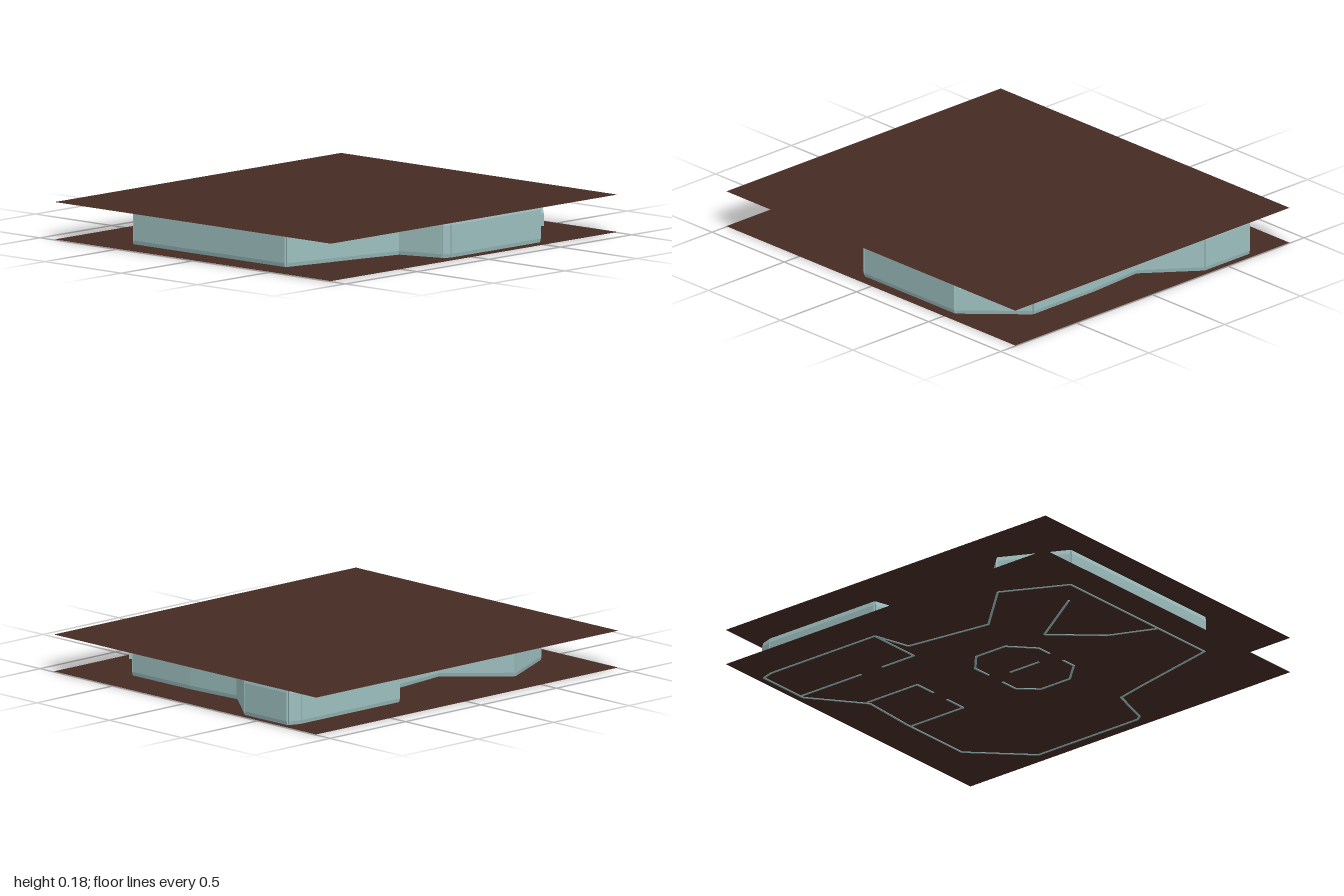
import * as THREE from 'three';

const FLOOR = 0.004, CEILING = 0.185;
const teal = new THREE.MeshStandardMaterial({ color: 0x9dbfbf, flatShading: true });
const brown = new THREE.MeshStandardMaterial({ color: 0x452a22, side: THREE.DoubleSide });

// One straight wall with chamfered top and bottom edges, from a to b
function wallSegment(a, b, thickness) {
  const dx = b[0] - a[0], dz = b[1] - a[1];
  const t = thickness / 2, c = t * 0.5, e = 0.022;
  const y0 = FLOOR - 0.003, y1 = CEILING - 0.001;
  const profile = new THREE.Shape([
    [-c, y0], [c, y0], [t, y0 + e], [t, y1 - e],
    [c, y1], [-c, y1], [-t, y1 - e], [-t, y0 + e],
  ].map(([x, y]) => new THREE.Vector2(x, y)));
  const geometry = new THREE.ExtrudeGeometry(profile, {
    depth: Math.hypot(dx, dz), bevelEnabled: false,
  });
  const wall = new THREE.Mesh(geometry, teal);
  wall.position.set(a[0], 0, a[1]);
  wall.rotation.y = Math.atan2(dx, dz);
  return wall;
}

// A run of walls through a list of [x, z] corners
function wallRun(name, points, closed = false, thickness = 0.02) {
  const run = new THREE.Group();
  run.name = name;
  const count = closed ? points.length : points.length - 1;
  for (let i = 0; i < count; i++) {
    const wall = wallSegment(points[i], points[(i + 1) % points.length], thickness);
    wall.name = name + 'Segment';
    run.add(wall);
  }
  return run;
}

export function createModel() {
  const model = new THREE.Group();
  model.name = 'walledFloorPlan';

  // Floor and ceiling sheets
  for (const [name, y] of [['floor', FLOOR], ['ceiling', CEILING]]) {
    const sheet = new THREE.Mesh(new THREE.PlaneGeometry(2, 1.81), brown);
    sheet.name = name;
    sheet.rotation.x = -Math.PI / 2;
    sheet.position.y = y;
    model.add(sheet);
  }

  // Outer wall around all the rooms
  model.add(wallRun('outerWall', [
    [-0.1, 0.84], [0.52, 0.84], [0.78, 0.58], [0.78, 0.18], [0.76, -0.12],
    [0.96, -0.38], [0.96, -0.67], [0.9, -0.69], [0.25, -0.69], [0.2, -0.5],
    [-0.25, -0.44], [-0.52, -0.69], [-0.84, -0.53], [-0.84, 0.46],
    [-0.37, 0.56], [-0.2, 0.6], [-0.13, 0.82],
  ], true));

  // Central room, with doorways on two sides
  model.add(wallRun('centralRoomBack', [
    [-0.26, 0.0], [-0.26, -0.08], [-0.15, -0.2], [0.03, -0.2], [0.12, -0.1], [0.12, 0.0],
  ]));
  model.add(wallRun('centralRoomFront', [
    [-0.26, 0.1], [-0.26, 0.18], [-0.15, 0.28], [0.03, 0.28], [0.12, 0.2], [0.12, 0.1],
  ]));
  model.add(wallRun('centralPartition', [[-0.16, 0.04], [0.02, 0.04]]));

  // Side room and back room on the +x side
  model.add(wallRun('sideRoom', [[0.76, -0.14], [0.45, -0.14], [0.45, -0.02]]));
  model.add(wallRun('sideRoom', [[0.45, 0.08], [0.45, 0.2], [0.78, 0.2]]));
  model.add(wallRun('backRoom', [[0.25, -0.69], [0.25, -0.4], [0.45, -0.4]]));
  model.add(wallRun('backRoom', [[0.58, -0.4], [0.95, -0.4]]));

  // Angled passage on the -x side
  model.add(wallRun('passageWall', [[-0.72, -0.4], [-0.38, -0.18], [-0.6, 0.02], [-0.84, 0.12]]));

  // Window panel standing proud of the slanted corner wall
  const panel = new THREE.Mesh(new THREE.BoxGeometry(0.34, 0.06, 0.02), teal);
  panel.name = 'windowPanel';
  panel.position.set(0.662, 0.11, 0.72);
  panel.rotation.y = Math.atan2(0.26, 0.26);
  model.add(panel);

  return model;
}
